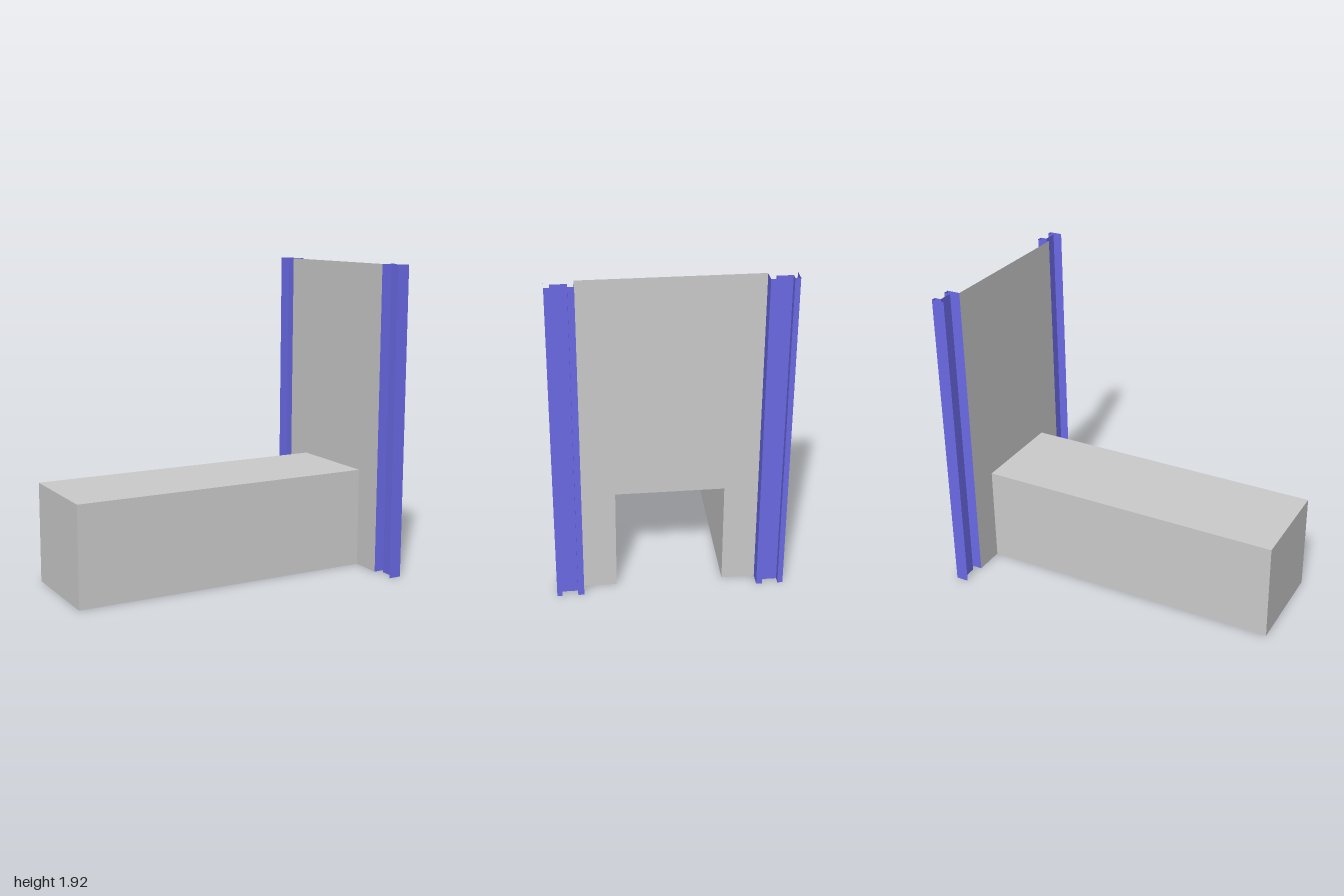
import * as THREE from 'three';
import { mergeGeometries } from 'three/addons/utils/BufferGeometryUtils.js';

const HEIGHT = 1.925; // panel and posts
const PANEL_X = 0.92;
const FRONT_X = 1.0;
const DUCT_H = 0.62;
const DUCT_HALF = 0.308;
const BACK_X = -1.0;

// Upright folded sheet following [x, z] points; faces look to the path's right-hand side
function foldedSheet(points, height) {
  const walls = [];
  for (let i = 0; i < points.length - 1; i++) {
    const [x0, z0] = points[i], [x1, z1] = points[i + 1];
    const wall = new THREE.PlaneGeometry(Math.hypot(x1 - x0, z1 - z0), height);
    wall.rotateY(Math.atan2(z0 - z1, x1 - x0));
    wall.translate((x0 + x1) / 2, height / 2, (z0 + z1) / 2);
    walls.push(wall);
  }
  return mergeGeometries(walls);
}

export function createModel() {
  const model = new THREE.Group();
  model.name = 'panelWithDuct';
  const grey = new THREE.MeshStandardMaterial({ color: 0xcccccc, side: THREE.DoubleSide });
  const blue = new THREE.MeshStandardMaterial({ color: 0x6a6ae6, side: THREE.DoubleSide });

  const add = (name, geometry, material) => {
    const mesh = new THREE.Mesh(geometry, material);
    mesh.name = name;
    model.add(mesh);
  };

  // Thin panel with a doorway cut into its lower edge
  const outline = new THREE.Shape([
    [-0.5, 0], [-DUCT_HALF, 0], [-DUCT_HALF, DUCT_H], [DUCT_HALF, DUCT_H],
    [DUCT_HALF, 0], [0.5, 0], [0.5, HEIGHT], [-0.5, HEIGHT],
  ].map(([u, v]) => new THREE.Vector2(u, v)));
  const panel = new THREE.ShapeGeometry(outline);
  panel.rotateY(Math.PI / 2);
  panel.translate(PANEL_X, 0, 0);
  add('panel', panel, grey);

  // Tunnel behind the doorway: two sides and a back end, open below
  add('ductWalls', foldedSheet([
    [PANEL_X, -DUCT_HALF], [BACK_X, -DUCT_HALF], [BACK_X, DUCT_HALF], [PANEL_X, DUCT_HALF],
  ], DUCT_H), grey);
  const roof = new THREE.PlaneGeometry(PANEL_X - BACK_X, DUCT_HALF * 2);
  roof.rotateX(-Math.PI / 2);
  roof.translate((PANEL_X + BACK_X) / 2, DUCT_H, 0);
  add('ductRoof', roof, grey);

  // Folded edge posts with a central groove, open at the back and ends
  const GROOVE_X = 0.96;
  const profile = [
    [PANEL_X, 0.655], [FRONT_X, 0.655], [FRONT_X, 0.625], [GROOVE_X, 0.625],
    [GROOVE_X, 0.535], [FRONT_X, 0.535], [FRONT_X, 0.5], [PANEL_X, 0.5],
  ];
  const mirrored = profile.map(([x, z]) => [x, -z]).reverse();
  add('frontPost', foldedSheet(profile, HEIGHT), blue);
  add('backPost', foldedSheet(mirrored, HEIGHT), blue);

  return model;
}
